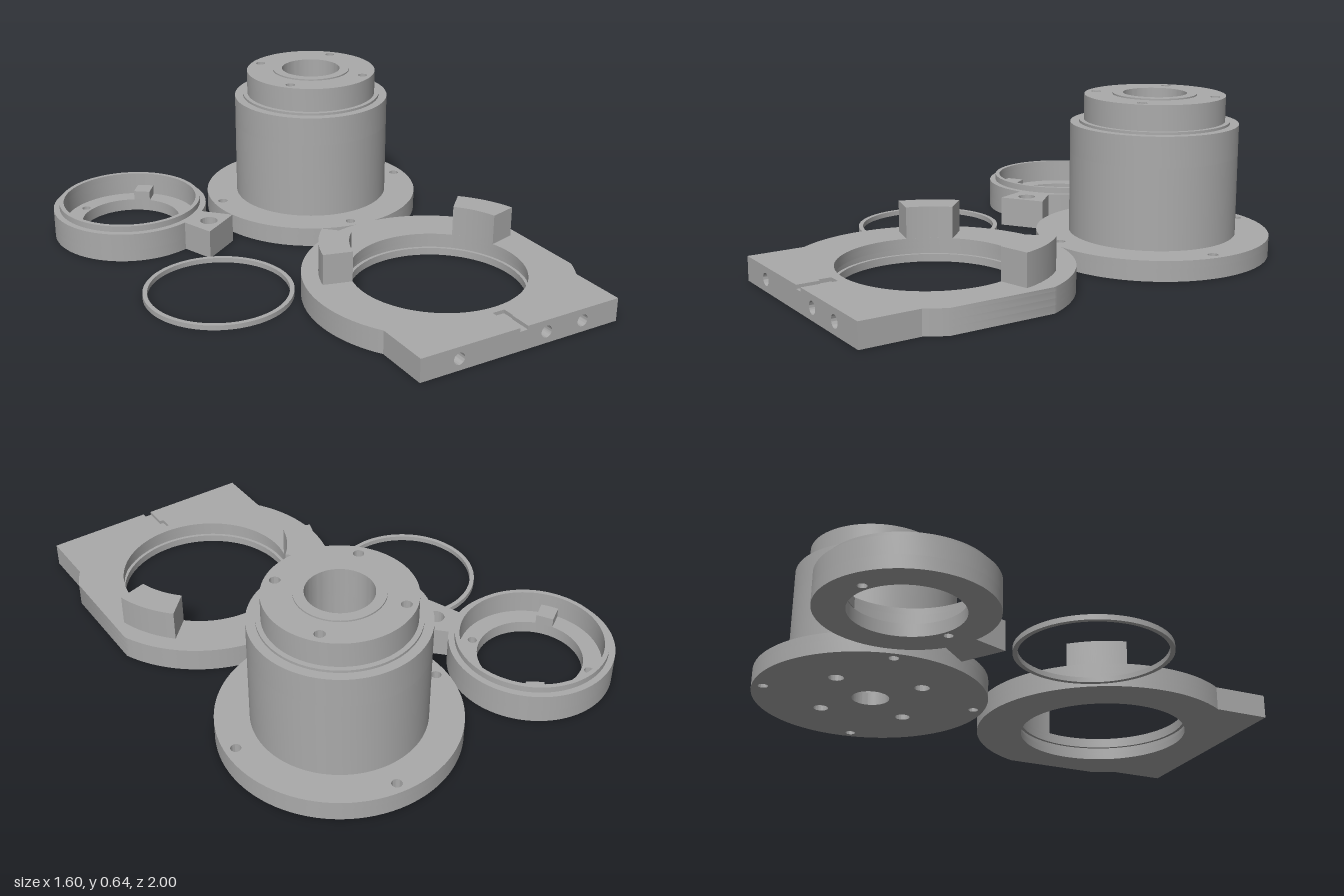
import * as THREE from 'three';
import { toCreasedNormals } from 'three/addons/utils/BufferGeometryUtils.js';

export function createModel() {
  const model = new THREE.Group();
  const steel = new THREE.MeshStandardMaterial({ color: 0xaaaaaa });
  steel.name = 'plainGrey';

  const part = (name, x, z) => {
    const g = new THREE.Group();
    g.name = name;
    g.position.set(x, 0, z);
    model.add(g);
    return g;
  };
  const extrude = (shape, depth) => new THREE.ExtrudeGeometry(shape, { depth, bevelEnabled: false, curveSegments: 48 });
  const addMesh = (group, name, geo) => {
    const m = new THREE.Mesh(toCreasedNormals(geo, 0.5), steel);
    m.name = name;
    group.add(m);
  };
  // horizontal slab from y0 to y1; shapes are drawn in (x, -z)
  const slab = (group, name, shape, y0, y1) =>
    addMesh(group, name, extrude(shape, y1 - y0).rotateX(-Math.PI / 2).translate(0, y0, 0));
  const drill = (shape, x, y, r) => {
    shape.holes.push(new THREE.Path().absarc(x, y, r, 0, Math.PI * 2, true));
    return shape;
  };
  const ring = (outer, inner) => drill(new THREE.Shape().absarc(0, 0, outer, 0, Math.PI * 2, false), 0, 0, inner);
  const drillRing = (shape, count, dist, start, r) => {
    for (let i = 0; i < count; i++) {
      const a = start + (i * Math.PI * 2) / count;
      drill(shape, dist * Math.cos(a), dist * Math.sin(a), r);
    }
    return shape;
  };
  const polygon = pts => new THREE.Shape(pts.map(p => new THREE.Vector2(p[0], p[1])));

  // flanged hub: outer radius, bore, screw hole radius, bottom, top
  const hub = part('flangedHub', 0.335, -0.537);
  [
    ['flangeBase', 0.463, 0.074, 0.03, 0, 0.05],
    ['flangeTop', 0.463, 0.125, 0.03, 0.05, 0.08],
    ['hubBody', 0.331, 0.125, 0.03, 0.08, 0.4],
    ['hubBodyTop', 0.331, 0.125, 0.02, 0.4, 0.52],
    ['hubShoulder', 0.296, 0.125, 0.02, 0.52, 0.53],
    ['hubNeck', 0.277, 0.125, 0.02, 0.53, 0.63],
    ['hubLip', 0.165, 0.125, 0, 0.63, 0.636],
  ].forEach(([name, outer, bore, screw, y0, y1]) => {
    const s = ring(outer, bore);
    if (screw) drillRing(s, 4, 0.237, 0.675, screw);
    if (outer > 0.4) drillRing(s, 4, 0.42, 1.457, 0.02);
    slab(hub, name, s, y0, y1);
  });

  // locking collar with stepped rim, floor stops and a drilled ear
  const collar = part('collar', -0.48, -0.675);
  slab(collar, 'collarFloor', drillRing(ring(0.323, 0.207), 2, 0.236, 2.138, 0.018), 0, 0.05);
  slab(collar, 'collarWall', ring(0.323, 0.28), 0.05, 0.12);
  slab(collar, 'collarRim', ring(0.298, 0.28), 0.12, 0.145);
  [0.927, 3.7].forEach(a => {
    const stop = new THREE.BoxGeometry(0.078, 0.04, 0.07).translate(0.242, 0.07, 0).rotateY(a);
    addMesh(collar, 'floorStop', stop);
  });
  const ear = () => polygon([[0.21, -0.21], [0.11, -0.28], [0.118, -0.305], [0.166, -0.434], [0.324, -0.328], [0.23, -0.23]]);
  slab(collar, 'earBase', ear(), 0, 0.04);
  slab(collar, 'earTop', drill(ear(), 0.212, -0.333, 0.036), 0.04, 0.12);

  // thin spacer ring
  slab(part('spacer', -0.426, 0.06), 'spacerRing', ring(0.295, 0.277), 0, 0.02);

  // mounting plate: rounded back, flat right side, square front
  const plate = part('mountingPlate', 0.312, 0.48);
  const outline = notched => {
    const s = new THREE.Shape();
    s.moveTo(-0.442, -0.43);
    if (notched) {
      s.lineTo(-0.029, -0.43);
      s.lineTo(-0.029, -0.38);
      s.lineTo(0.024, -0.38);
      s.lineTo(0.024, -0.43);
    }
    s.lineTo(0.445, -0.43);
    s.absarc(0, 0, 0.53, -0.575, -0.4, false);
    s.absarc(0, 0, 0.53, 0.4, Math.PI + 0.584, false);
    s.closePath();
    return s;
  };
  [
    ['plateBottom', 0.345, 0, 0.03],
    ['plateGroove', 0.358, 0.03, 0.055],
    ['plateMiddle', 0.345, 0.055, 0.08],
    ['plateTop', 0.345, 0.08, 0.095],
  ].forEach(([name, bore, y0, y1]) => slab(plate, name, drill(outline(y0 === 0.08), 0, 0, bore), y0, y1));

  // front edge with slot and three blind holes
  const edge = polygon([[-0.442, 0], [0.445, 0], [0.445, 0.095], [0.021, 0.095],
    [0.021, 0.08], [-0.014, 0.08], [-0.014, 0.095], [-0.442, 0.095]]);
  [-0.277, 0.11, 0.278].forEach(x => drill(edge, x, 0.047, 0.024));
  addMesh(plate, 'frontEdge', extrude(edge, 0.09).translate(0, 0, 0.43));

  // curved posts on both sides of the bore
  [['leftPost', 15], ['rightPost', 135]].forEach(([name, deg]) => {
    const a = (deg * Math.PI) / 180, b = a + Math.PI / 6;
    const s = new THREE.Shape().absarc(0, 0, 0.463, a, b, false).absarc(0, 0, 0.345, b, a, true);
    s.closePath();
    slab(plate, name, s, 0.095, 0.22);
  });

  return model;
}
